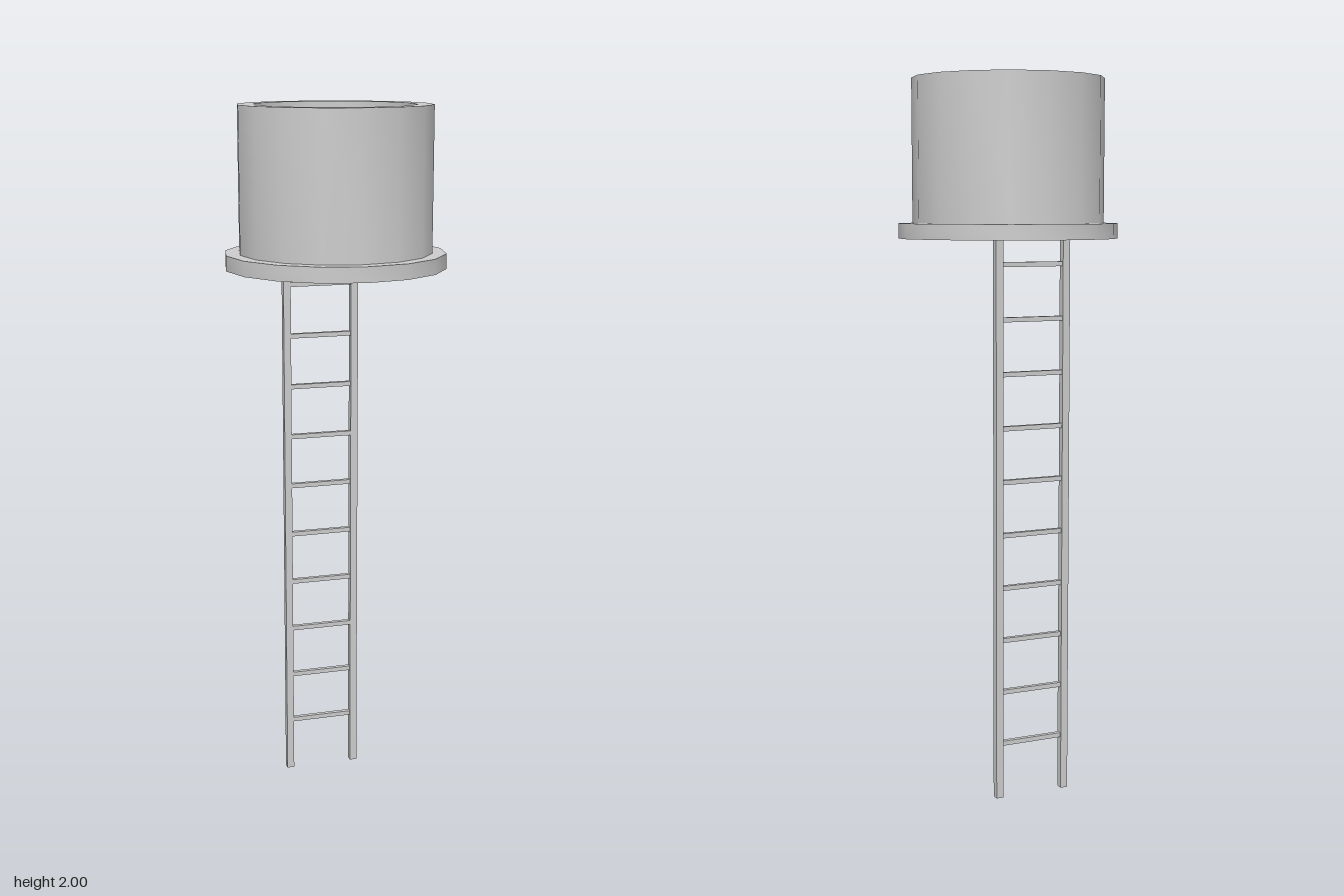
import * as THREE from 'three';
import { toCreasedNormals } from 'three/addons/utils/BufferGeometryUtils.js';

const SIDES = 16;
const INNER = 0.222, OUTER = 0.267, FLANGE = 0.306;
const BOTTOM = 1.562, FLANGE_TOP = 1.604, TOP = 2;
const LADDER_Z = -0.156, RAIL_X = 0.1, RAIL_TOP = 1.775;

export function createModel() {
  const model = new THREE.Group();
  const grey = new THREE.MeshStandardMaterial({ color: 0xcccccc });
  const black = new THREE.MeshStandardMaterial({ color: 0x030303, side: THREE.DoubleSide });

  const add = (parent, name, geometry, material, x = 0, y = 0, z = 0) => {
    const mesh = new THREE.Mesh(geometry, material);
    mesh.name = name;
    mesh.position.set(x, y, z);
    parent.add(mesh);
    return mesh;
  };

  // Hollow shaft wall with a flange around its foot
  const profile = [
    [INNER, BOTTOM], [FLANGE, BOTTOM], [FLANGE, FLANGE_TOP], [OUTER, FLANGE_TOP],
    [OUTER, TOP], [INNER, TOP], [INNER, BOTTOM],
  ].map(([r, y]) => new THREE.Vector2(r, y));
  add(model, 'shaft', toCreasedNormals(new THREE.LatheGeometry(profile, SIDES), 0.6), grey);

  // Dark disc closing the shaft
  const disc = new THREE.CircleGeometry(INNER, SIDES).rotateX(-Math.PI / 2);
  add(model, 'darkDisc', disc, black, 0, 1.762, 0);

  // Ladder: two square rails and evenly spaced rungs
  const ladder = new THREE.Group();
  ladder.name = 'ladder';
  ladder.position.z = LADDER_Z;
  model.add(ladder);

  const rail = new THREE.BoxGeometry(0.021, RAIL_TOP, 0.021);
  for (const side of [-1, 1]) {
    add(ladder, side > 0 ? 'leftRail' : 'rightRail', rail, grey, side * RAIL_X, RAIL_TOP / 2, 0);
  }

  const rung = new THREE.BoxGeometry(2 * RAIL_X, 0.013, 0.013);
  for (let i = 0; i < 11; i++) {
    add(ladder, 'rung', rung, grey, 0, 0.157 + i * 0.1487, 0);
  }

  return model;
}
